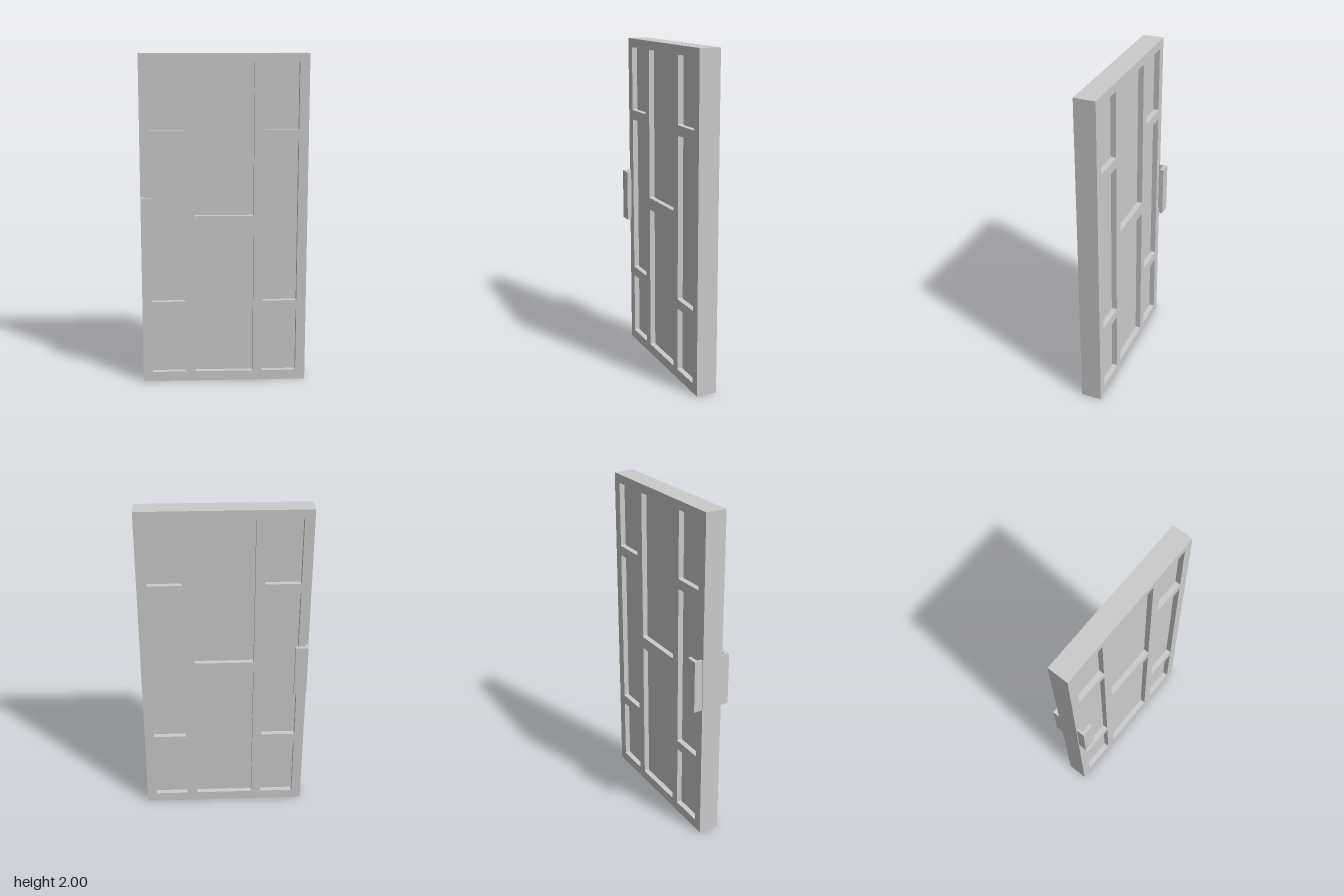
import * as THREE from 'three';

const HALF = 0.063;    // half the door thickness
const RECESS = 0.033;  // depth of the sunken panels

const material = new THREE.MeshStandardMaterial({ color: 0xcccccc });

// Panel openings: x0, x1, y0, y1
const side = [[0.06, 0.453], [0.511, 1.495], [1.555, 1.948]];
const middle = [[0.06, 0.967], [1.041, 1.948]];
const panels = [
  ...side.flatMap(([a, b]) => [[-0.442, -0.235, a, b], [0.235, 0.442, a, b]]),
  ...middle.map(([a, b]) => [-0.177, 0.177, a, b]),
];

function roundedRect(path, x0, x1, y0, y1, r) {
  path.moveTo(x0 + r, y0);
  path.lineTo(x1 - r, y0);
  path.quadraticCurveTo(x1, y0, x1, y0 + r);
  path.lineTo(x1, y1 - r);
  path.quadraticCurveTo(x1, y1, x1 - r, y1);
  path.lineTo(x0 + r, y1);
  path.quadraticCurveTo(x0, y1, x0, y1 - r);
  path.lineTo(x0, y0 + r);
  path.quadraticCurveTo(x0, y0, x0 + r, y0);
  return path;
}

function mesh(name, geometry) {
  const m = new THREE.Mesh(geometry, material);
  m.name = name;
  return m;
}

// L-shaped pull: a stem leaving the door and a grip plate turned inward
function makeHandle(name, s) {
  const outline = [
    [-0.495, HALF - 0.002], [-0.48, HALF - 0.002], [-0.48, 0.091],
    [-0.42, 0.091], [-0.42, 0.114], [-0.495, 0.114],
  ].map(([x, z]) => new THREE.Vector2(x, -z * s));
  const geometry = new THREE.ExtrudeGeometry(new THREE.Shape(outline), {
    depth: 0.315, bevelEnabled: false,
  });
  geometry.rotateX(-Math.PI / 2); // extrude upward
  geometry.translate(0, 0.845, 0);
  return mesh(name, geometry);
}

export function createModel() {
  const door = new THREE.Group();
  door.name = 'door';

  // Frame of stiles and rails, pierced by the panel openings
  const shape = new THREE.Shape([
    new THREE.Vector2(-0.5, 0), new THREE.Vector2(0.5, 0),
    new THREE.Vector2(0.5, 2), new THREE.Vector2(-0.5, 2),
  ]);
  for (const p of panels) shape.holes.push(roundedRect(new THREE.Path(), ...p, 0.006));
  const frame = new THREE.ExtrudeGeometry(shape, {
    depth: 2 * HALF, bevelEnabled: false, curveSegments: 4,
  });
  frame.translate(0, 0, -HALF);
  door.add(mesh('frame', frame));

  // Sunken panels, recessed on both faces
  for (const [x0, x1, y0, y1] of panels) {
    const panel = new THREE.BoxGeometry(x1 - x0, y1 - y0, 2 * (HALF - RECESS));
    panel.translate((x0 + x1) / 2, (y0 + y1) / 2, 0);
    door.add(mesh('panel', panel));
  }

  // Handles on both faces, at the same edge
  door.add(makeHandle('frontHandle', 1), makeHandle('backHandle', -1));
  return door;
}
